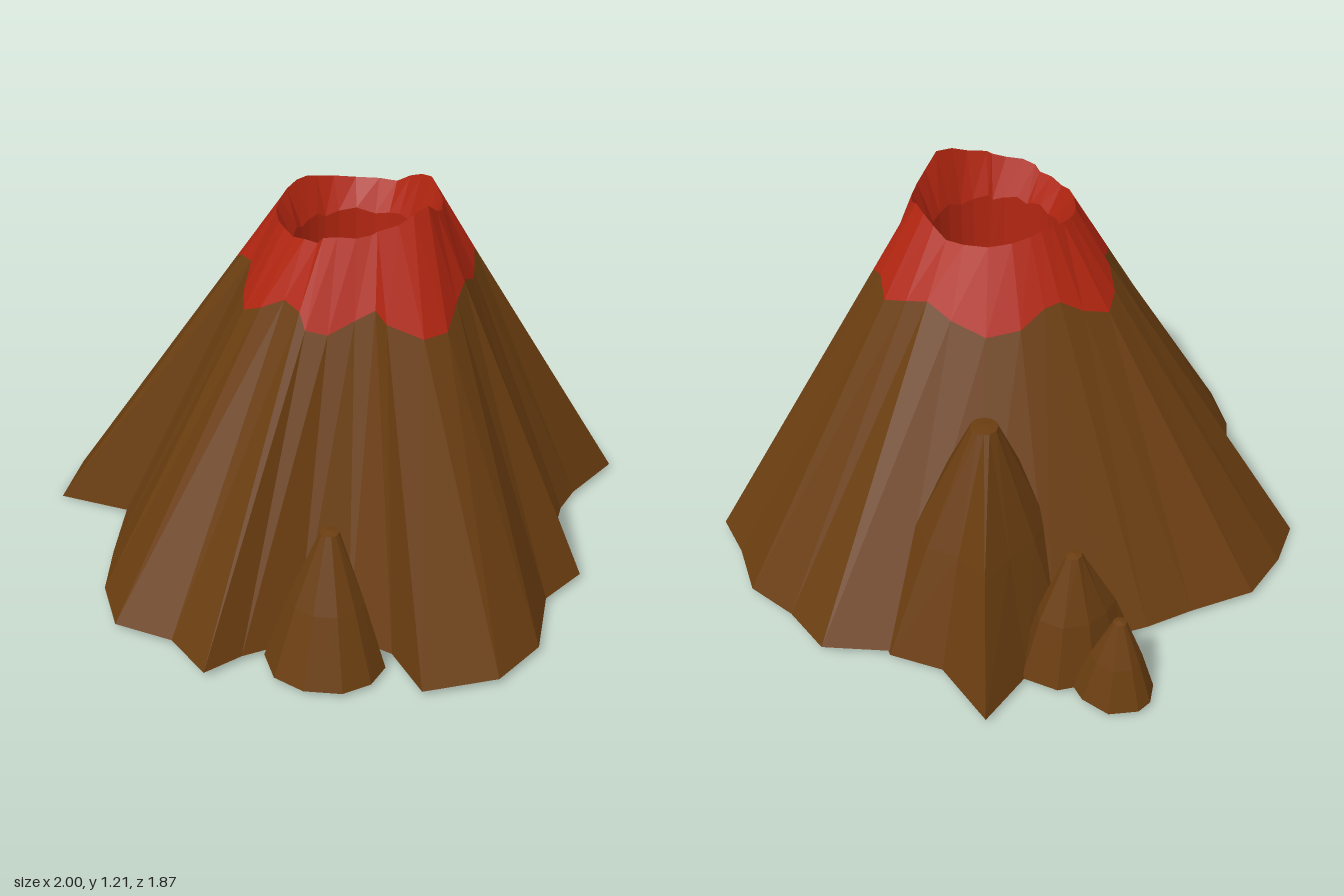
import * as THREE from 'three';

const rock = new THREE.MeshStandardMaterial({ color: 0x6a3d10, flatShading: true });
const lava = new THREE.MeshStandardMaterial({ color: 0xb02510, flatShading: true });

// Skin a stack of equal-length rings (each point is [x, y, z])
function loft(name, rings, material) {
  const pos = [];
  for (let r = 0; r < rings.length - 1; r++) {
    const a = rings[r], b = rings[r + 1], n = a.length;
    for (let i = 0; i < n; i++) {
      const j = (i + 1) % n;
      pos.push(...a[j], ...a[i], ...b[i], ...a[j], ...b[i], ...b[j]);
    }
  }
  const geo = new THREE.BufferGeometry();
  geo.setAttribute('position', new THREE.Float32BufferAttribute(pos, 3));
  geo.computeVertexNormals();
  const mesh = new THREE.Mesh(geo, material);
  mesh.name = name;
  return mesh;
}

const mix = (a, b, t) => a.map((v, k) => v + (b[k] - v) * t);

// Foot of the mountain, clockwise from the back: [x, z, rim height]
const foot = [
  [0.09, -0.94, 1.17], [0.27, -0.89, 1.18], [0.43, -0.87, 1.16], [0.47, -0.65, 1.15],
  [0.51, -0.55, 1.15], [0.61, -0.41, 1.15], [0.80, -0.34, 1.17], [0.82, -0.17, 1.21],
  [0.97, 0.01, 1.20], [1.00, 0.20, 1.18], [0.90, 0.41, 1.17], [0.72, 0.37, 1.16],
  [0.58, 0.42, 1.15], [0.50, 0.55, 1.15], [0.45, 0.72, 1.14], [0.44, 0.85, 1.12],
  [0.26, 0.84, 1.12], [0.09, 0.93, 1.11], [-0.08, 0.86, 1.12], [-0.22, 0.74, 1.12],
  [-0.39, 0.58, 1.12], [-0.62, 0.69, 1.12], [-0.73, 0.54, 1.13], [-0.80, 0.37, 1.14],
  [-0.76, 0.16, 1.15], [-0.74, 0.00, 1.15], [-0.71, -0.12, 1.14], [-0.66, -0.30, 1.13],
  [-0.55, -0.50, 1.12], [-0.40, -0.70, 1.12], [-0.26, -0.88, 1.12], [-0.08, -0.89, 1.15],
];
const CX = 0.1, CZ = -0.01;

// Ring around the crater axis that follows the bearings of the foot
const craterRing = (radius, height) => foot.map(([x, z, y], i) => {
  const a = Math.atan2(z - CZ, x - CX);
  return [CX + radius * Math.cos(a), height(y, i), CZ + radius * Math.sin(a)];
});

// Small side cone: foot outline [x, z] clockwise, apex position and height
function sideCone(name, outline, ax, az, height, topRadius, bulge) {
  const base = outline.map(([x, z]) => [x, 0.015, z]);
  const top = outline.map(([x, z]) => {
    const a = Math.atan2(z - az, x - ax);
    return [ax + topRadius * Math.cos(a), height - 0.005, az + topRadius * Math.sin(a)];
  });
  const mid = base.map((p, i) => {
    const q = mix(p, top[i], 0.5);
    return [ax + (q[0] - ax) * bulge, q[1], az + (q[2] - az) * bulge];
  });
  const apex = base.map(() => [ax, height, az]);
  const under = base.map(() => [ax, 0.015, az]);
  return loft(name, [under, base, mid, top, apex], rock);
}

export function createModel() {
  const group = new THREE.Group();

  // Mountain slopes run straight from foot to rim; lava covers the upper part
  const base = foot.map(([x, z], i) => [x, i === 21 ? 0 : 0.02, z]);
  const under = base.map(() => [CX, 0.015, CZ]);
  const rim = craterRing(0.25, y => y);
  const collar = base.map((p, i) => {
    const y = 0.92 + 0.04 * Math.sin(i * 1.3);
    return mix(p, rim[i], (y - p[1]) / (rim[i][1] - p[1]));
  });
  group.add(loft('mountain', [under, base, collar], rock));

  // Lava cap, sloping inner lip, shaft and crater floor
  const lip = craterRing(0.2, (y, i) => 1.03 + 0.01 * Math.sin(i * 2.1));
  const floor = craterRing(0.195, () => 0.85);
  const centre = craterRing(0, () => 0.85);
  group.add(loft('lavaCap', [collar, rim, lip, floor, centre], lava));

  // Side cones
  group.add(sideCone('tallSideCone', [
    [-0.40, -0.72], [-0.22, -0.68], [-0.05, -0.52], [0.0, -0.36], [-0.06, -0.16], [-0.22, -0.04],
    [-0.40, -0.02], [-0.55, -0.10], [-0.64, -0.24], [-0.70, -0.42], [-0.78, -0.62], [-0.54, -0.62],
  ], -0.38, -0.36, 0.73, 0.042, 1.05));
  group.add(sideCone('frontSideCone', [
    [0.58, 0.38], [0.66, 0.41], [0.75, 0.42], [0.78, 0.50], [0.76, 0.59], [0.68, 0.67],
    [0.58, 0.70], [0.48, 0.66], [0.43, 0.56], [0.44, 0.46], [0.50, 0.40],
  ], 0.59, 0.50, 0.455, 0.028, 1.08));
  group.add(sideCone('middleSideCone', [
    [-0.70, -0.44], [-0.63, -0.40], [-0.60, -0.27], [-0.57, -0.18], [-0.60, -0.10],
    [-0.68, -0.08], [-0.78, -0.07], [-0.82, -0.16], [-0.84, -0.27], [-0.80, -0.38],
  ], -0.70, -0.26, 0.425, 0.025, 1.15));
  group.add(sideCone('smallSideCone', [
    [-0.87, -0.34], [-0.80, -0.33], [-0.76, -0.26], [-0.76, -0.18], [-0.82, -0.11],
    [-0.88, -0.11], [-0.94, -0.13], [-0.99, -0.18], [-1.00, -0.23], [-0.96, -0.31],
  ], -0.88, -0.22, 0.28, 0.02, 1.08));

  return group;
}
